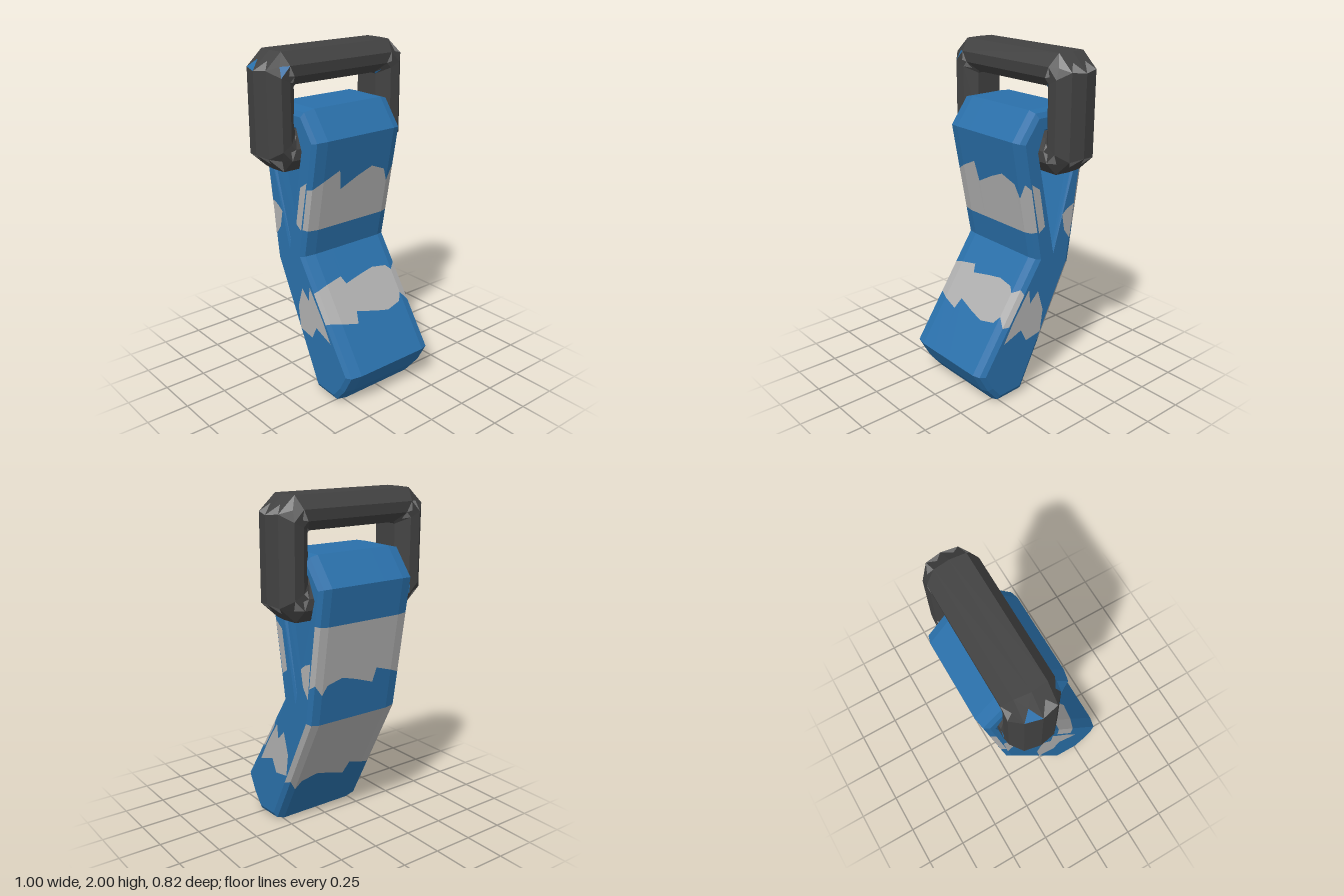
import * as THREE from 'three';

const COLORS = { blue: 0x2a70aa, grey: 0xb0b0b0, dark: 0x424242, chip: 0x808080 };

function facetMesh(name, positions, color) {
  const g = new THREE.BufferGeometry();
  g.setAttribute('position', new THREE.Float32BufferAttribute(positions, 3));
  g.computeVertexNormals();
  const m = new THREE.Mesh(g, new THREE.MeshStandardMaterial({ color, flatShading: true }));
  m.name = name;
  return m;
}
const tri = (out, a, b, c) => out.push(...a, ...b, ...c);
const quad = (out, a, b, c, d) => { tri(out, a, b, c); tri(out, a, c, d); };

// Moves a closed (z, y) loop into the solid, which lies right of its direction
function inset(loop, d) {
  const n = loop.length;
  const normal = (a, b) => new THREE.Vector2(b[1] - a[1], a[0] - b[0]).normalize();
  return loop.map((p, i) => {
    const n0 = normal(loop[(i + n - 1) % n], p), n1 = normal(p, loop[(i + 1) % n]);
    const k = d / Math.max(0.3, 1 + n0.dot(n1));
    return [p[0] + (n0.x + n1.x) * k, p[1] + (n0.y + n1.y) * k];
  });
}

function createStrap() {
  const group = new THREE.Group();
  group.name = 'strap';
  // Side profile; a row with a third value is a ragged band edge (1 starts grey, 2 ends it)
  const outer = [
    [0, 1.69], [0.12, 1.53], [0.072, 1.27, 1], [0.02, 0.99, 2], [-0.01, 0.83],
    [0.102, 0.665, 1], [0.227, 0.48, 2], [0.41, 0.21], [0.345, 0.09], [0.27, 0],
    [0.08, 0.01], [-0.067, 0.3, 1], [-0.29, 0.74, 2], [-0.325, 0.97, 1], [-0.378, 1.32, 2],
    [-0.41, 1.53], [-0.28, 1.69],
  ];
  const hole = [
    [-0.27, 1.57], [-0.32, 1.46], [-0.15, 0.86], [-0.03, 1.46], [-0.07, 1.57],
  ].reverse();
  // keep the hole running opposite to the outline
  if (THREE.ShapeUtils.area(hole.map(p => new THREE.Vector2(...p))) < 0) hole.reverse();

  const xs = [-0.312, -0.295, -0.23, -0.12, -0.1, 0.02, 0.12, 0.22, 0.25, 0.295, 0.312];
  const rag = [-0.03, -0.02, 0.02, 0.07, -0.05, 0.01, 0.05, 0.01, -0.07, 0.02, -0.02];
  const last = xs.length - 1;
  const depth = j => (j === 0 || j === last ? 0.04 : j === 1 || j === last - 1 ? 0.012 : 0);
  const strength = { 2: 1, 5: 0.35, 6: -0.5, 11: 0.7, 13: 0.7 };

  const columns = xs.map((x, j) => inset(outer, depth(j)).map(([z, y], i) => {
    const a = outer[i - 1], b = outer[i + 1];
    const dy = (strength[i] || 0) * rag[j];
    const slope = dy ? (b[0] - a[0]) / (b[1] - a[1]) : 0;
    return [x, y + dy, z + dy * slope];
  }));
  const holeColumns = xs.map((x, j) => inset(hole, depth(j) * 0.4).map(([z, y]) => [x, y, z]));

  const blue = [], grey = [];
  const skin = (cols, isGrey) => {
    const n = cols[0].length;
    for (let j = 0; j < last; j++) for (let i = 0; i < n; i++) {
      const k = (i + 1) % n;
      quad(isGrey(i) ? grey : blue, cols[j][i], cols[j][k], cols[j + 1][k], cols[j + 1][i]);
    }
  };
  skin(columns, i => outer[i][2] === 1);
  skin(holeColumns, () => false);

  // Flat polygons on both sides, turned to face outwards
  const fill = (out, contour, holes, side) => {
    const pts = [...contour, ...holes.flat()];
    const v = p => new THREE.Vector2(p[2], p[1]);
    for (const [a, b, c] of THREE.ShapeUtils.triangulateShape(contour.map(v), holes.map(h => h.map(v)))) {
      const ccw = THREE.ShapeUtils.area([pts[a], pts[b], pts[c]].map(v)) > 0;
      if (ccw === side < 0) tri(out, pts[a], pts[b], pts[c]);
      else tri(out, pts[a], pts[c], pts[b]);
    }
  };
  const patches = [
    [[0.03, 1.29], [-0.03, 1.25], [-0.075, 1.02], [-0.03, 0.99]],
    [[-0.21, 1.06], [-0.25, 1.09], [-0.3, 1.11], [-0.275, 0.9], [-0.23, 0.96]],
    [[0.04, 0.66], [0.03, 0.57], [-0.03, 0.63], [-0.07, 0.5], [-0.05, 0.36],
      [0.06, 0.34], [0.1, 0.42], [0.23, 0.37], [0.16, 0.49]],
  ];
  for (const [side, j] of [[-1, 0], [1, last]]) {
    fill(blue, columns[j], [holeColumns[j]], side);
    for (const p of patches) fill(grey, p.map(([z, y]) => [side * 0.315, y, z]), [], side);
  }
  group.add(facetMesh('strapBody', blue, COLORS.blue), facetMesh('strapBands', grey, COLORS.grey));
  return group;
}

function createRing() {
  const group = new THREE.Group();
  group.name = 'buckleRing';
  // Cross-section rows: z, half width, half height, corner cut in x and y
  const half = [
    [0, 0.5, 0.33, 0.11, 0.1],
    [0.09, 0.48, 0.33, 0.1, 0.09],
    [0.145, 0.42, 0.26, 0.06, 0.06],
    [0.14, 0.36, 0.2, 0.03, 0.03],
    [0.08, 0.295, 0.145, 0.01, 0.01],
  ];
  const rows = [...half, ...half.slice(1).reverse().map(([z, ...r]) => [-z, ...r])];
  const loops = rows.map(([z, w, h, cx, cy]) => [
    [w, h - cy], [w - cx, h], [cx - w, h], [-w, h - cy],
    [-w, cy - h], [cx - w, -h], [w - cx, -h], [w, cy - h],
  ].map(([x, y]) => [x, y + 1.67, z - 0.175]));

  const dark = [], chip = [], blue = [];
  for (let r = 0; r < loops.length; r++) for (let i = 0; i < 8; i++) {
    const A = loops[r], B = loops[(r + 1) % loops.length], k = (i + 1) % 8;
    const q = [A[i], B[i], B[k], A[k]];
    const outside = r !== 4;
    if (i % 2 || !outside) { quad(dark, ...q); continue; }
    // Corner facets fan from their middle, with one worn facet each
    const mid = [0, 1, 2].map(c => q.reduce((s, p) => s + p[c] / 4, 0));
    for (let e = 0; e < 4; e++) {
      const worn = e === (r * 3 + i) % 4;
      const out = worn ? ((r + i) % 7 === 3 ? blue : chip) : dark;
      tri(out, q[e], q[(e + 1) % 4], mid);
    }
  }
  // Winding check: the first facet must face away from the ring centre
  const flip = list => {
    for (let i = 0; i < list.length; i += 9) for (let c = 0; c < 3; c++)
      [list[i + 3 + c], list[i + 6 + c]] = [list[i + 6 + c], list[i + 3 + c]];
  };
  const [a, b, c] = [loops[0][0], loops[1][0], loops[1][7]].map(p => new THREE.Vector3(...p));
  const front = new THREE.Triangle(a, c, b).getNormal(new THREE.Vector3());
  if (front.x > 0 === false) [dark, chip, blue].forEach(flip);

  group.add(facetMesh('ringBody', dark, COLORS.dark), facetMesh('ringWornFacets', chip, COLORS.chip),
    facetMesh('ringBlueFacets', blue, COLORS.blue));
  return group;
}

export function createModel() {
  const model = new THREE.Group();
  model.name = 'strapAndBuckle';
  model.add(createStrap(), createRing());
  return model;
}
